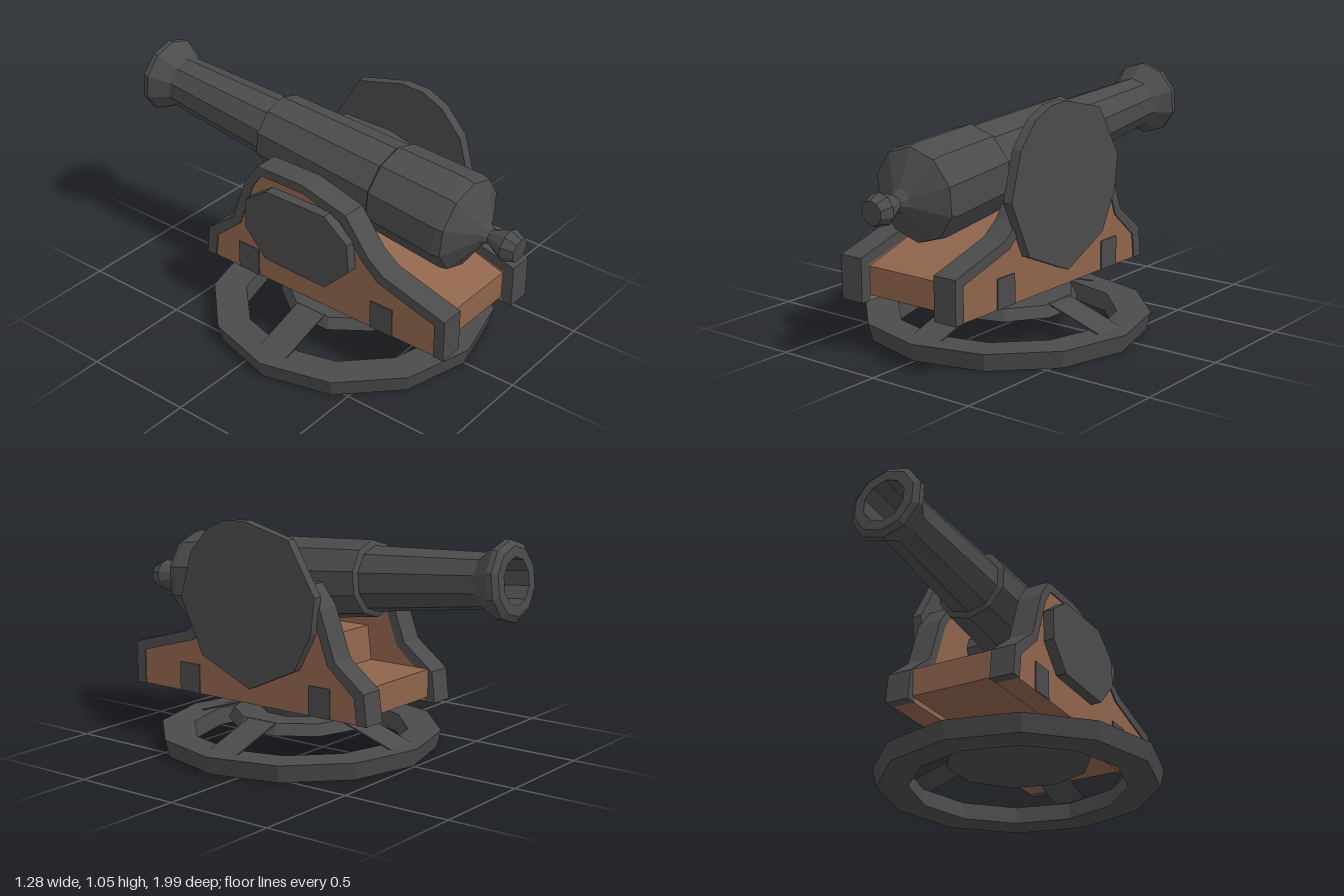
import * as THREE from 'three';

const iron = new THREE.MeshStandardMaterial({ color: 0x4b4b4b });
iron.name = 'dark iron';
iron.flatShading = true;
const wood = new THREE.MeshStandardMaterial({ color: 0x8f644c });
wood.name = 'brown wood';
wood.flatShading = true;

export function createModel() {
  const model = new THREE.Group();
  model.name = 'cannon';

  const add = (name, geometry, material, x = 0, y = 0, z = 0, parent = model) => {
    const mesh = new THREE.Mesh(geometry, material);
    mesh.name = name;
    mesh.position.set(x, y, z);
    parent.add(mesh);
    return mesh;
  };
  const v2 = (list) => list.map(([a, b]) => new THREE.Vector2(a, b));

  // Side profile of [z, y] points, extruded from x0 to x1
  const slab = (points, x0, x1) => {
    const g = new THREE.ExtrudeGeometry(new THREE.Shape(v2(points)), { depth: x1 - x0, bevelEnabled: false });
    return g.rotateY(-Math.PI / 2).translate(x1, 0, 0);
  };

  // Ground ring with a slightly narrower foot
  const cz = 0.13;
  const ring = new THREE.LatheGeometry(v2([[0.48, 0], [0.62, 0], [0.64, 0.08], [0.49, 0.08], [0.48, 0]]), 12);
  add('groundRing', ring.rotateY(Math.PI / 12 * 6), iron, 0, 0, cz);

  // Four thin sloping spokes from ring to turntable
  for (let i = 0; i < 4; i++) {
    const arm = new THREE.Group();
    arm.name = 'spokeArm';
    arm.position.z = cz - 0.01;
    arm.rotation.y = i * Math.PI / 2;
    const spoke = add('spoke', new THREE.BoxGeometry(0.3, 0.006, 0.15), iron, 0.42, 0.118, 0, arm);
    spoke.rotation.z = -Math.atan2(0.08, 0.25);
    model.add(arm);
  }

  // Turntable and pedestal
  add('turntable', new THREE.CylinderGeometry(0.3, 0.325, 0.05, 10), iron, 0, 0.14, cz);
  add('pedestal', new THREE.CylinderGeometry(0.21, 0.175, 0.085, 10), iron, 0, 0.208, cz);

  // Wooden bed, rising under the barrel
  add('bed', slab([[0.79, 0.26], [0.79, 0.385], [0.3, 0.54], [-0.1, 0.54], [-0.12, 0.385],
    [-0.43, 0.385], [-0.43, 0.26]], -0.2, 0.2), wood);

  // Cheeks: wooden boards with an iron band over the ends and top
  const outer = [[0.845, 0.237], [0.845, 0.43], [0.53, 0.52], [0.45, 0.58], [0.33, 0.74], [0.1, 0.8],
    [-0.15, 0.8], [-0.22, 0.71], [-0.3, 0.49], [-0.45, 0.375], [-0.467, 0.237]];
  const inner = [[0.795, 0.237], [0.795, 0.395], [0.5, 0.48], [0.42, 0.55], [0.3, 0.7], [0.1, 0.76],
    [-0.13, 0.76], [-0.18, 0.69], [-0.26, 0.47], [-0.4, 0.35], [-0.415, 0.237]];
  const band = [...outer, ...[...inner].reverse()];
  for (const side of [1, -1]) {
    const span = (a, b) => (side > 0 ? [a, b] : [-b, -a]);
    add('cheekBoard', slab(inner, ...span(0.2, 0.304)), wood);
    add('cheekBand', slab(band, ...span(0.197, 0.31)), iron);
    for (const z of [0.52, -0.215]) {
      add('cheekPlate', new THREE.BoxGeometry(0.008, 0.133, 0.115), iron, side * 0.305, 0.304, z);
    }
  }

  // Large side disc and smaller opposite plate
  add('largeDisc', slab([[0.37, 1.0], [0.27, 1.045], [0.16, 1.05], [-0.08, 0.99], [-0.22, 0.76],
    [-0.2, 0.6], [-0.11, 0.43], [0.14, 0.315], [0.41, 0.43], [0.53, 0.68], [0.47, 0.89]], 0.3, 0.345), iron);
  add('smallPlate', slab([[0.38, 0.5], [0.37, 0.63], [0.25, 0.725], [-0.07, 0.725], [-0.19, 0.64],
    [-0.19, 0.5], [-0.08, 0.38], [0.25, 0.37]], -0.352, -0.3), iron);

  // Trunnion through both cheeks
  const trunnion = new THREE.CylinderGeometry(0.085, 0.085, 0.6, 10).rotateZ(Math.PI / 2);
  add('trunnion', trunnion, iron, 0, 0.67, 0.1);

  // Barrel: rear knob, breech, stepped body, flared muzzle and bore
  const barrel = add('barrel', new THREE.LatheGeometry(v2([
    [0, -0.992], [0.053, -0.99], [0.072, -0.935], [0.032, -0.85], [0.055, -0.82], [0.205, -0.735],
    [0.213, -0.7], [0.202, -0.35], [0.19, -0.34], [0.168, 0.285], [0.143, 0.295], [0.118, 0.855],
    [0.172, 0.945], [0.17, 0.97], [0.145, 0.988], [0.1, 0.988], [0.095, 0.7], [0, 0.7]]), 10), iron, 0, 0.775, 0);
  barrel.rotation.x = -Math.PI / 2 + 0.094;

  return model;
}
